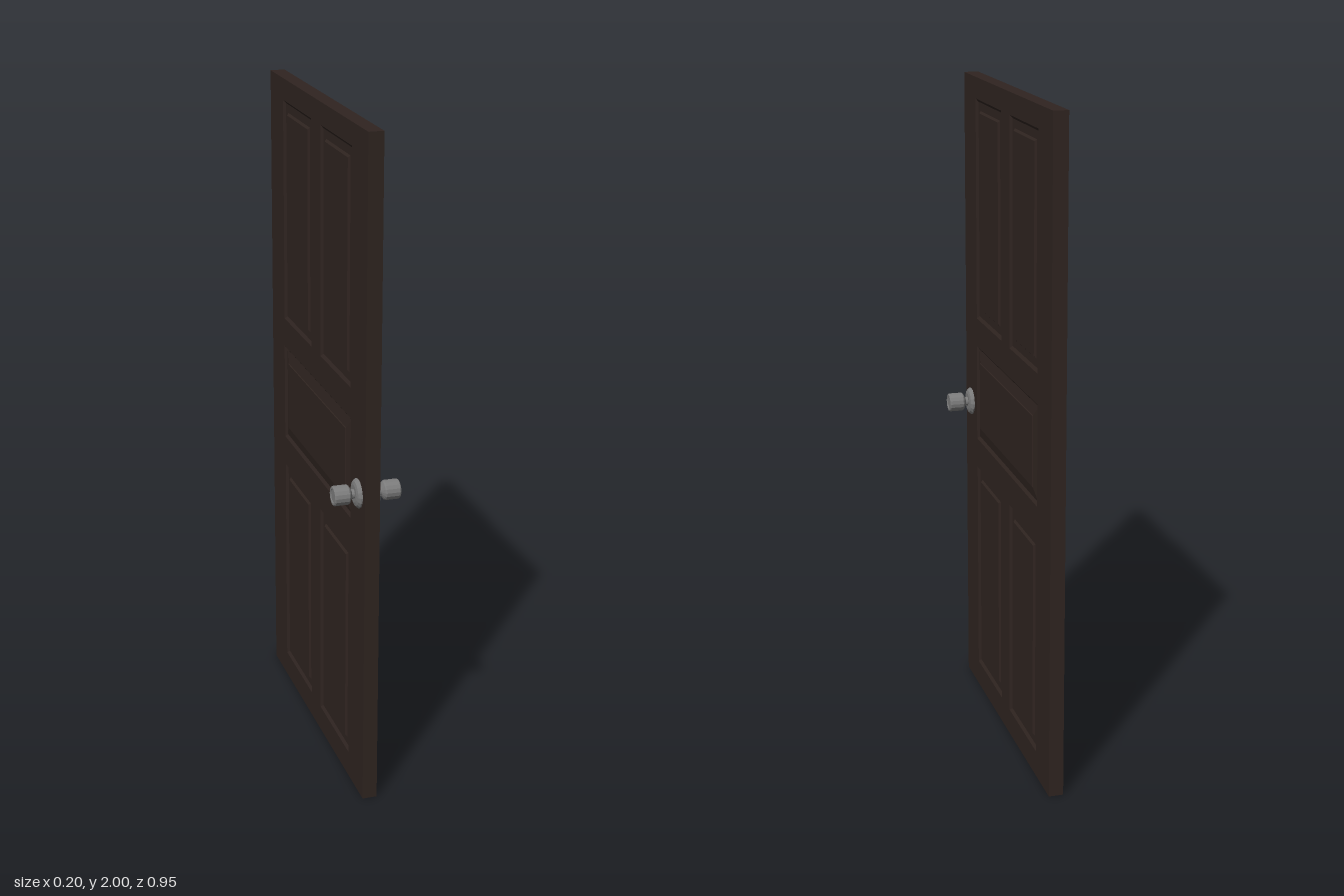
import * as THREE from 'three';

const HALF_T = 0.022, HALF_W = 0.474, HEIGHT = 2;
const KNOB_Y = 0.96, KNOB_Z = 0.411;

// Panel openings seen face on: [x0, x1, y0, y1]
const TALL = [
  [-0.337, -0.046, 1.25, 1.935], [0.046, 0.337, 1.25, 1.935],
  [-0.337, -0.046, 0.08, 0.76], [0.046, 0.337, 0.08, 0.76],
];
const MIDDLE = [-0.34, 0.34, 0.855, 1.16];

// Panel sections from the opening edge inwards: [inset, height above the face]
const TALL_PROFILE = [[0, 0], [0.009, -0.007], [0.034, -0.007], [0.04, -0.001]];
const MIDDLE_PROFILE = [[0, 0], [0.009, -0.007], [0.044, 0], [0.046, 0.002]];

function rectPath(path, [x0, x1, y0, y1]) {
  path.moveTo(x0, y0);
  path.lineTo(x1, y0);
  path.lineTo(x1, y1);
  path.lineTo(x0, y1);
  path.closePath();
  return path;
}

// Moulded panel: nested rectangles joined by strips, closed by the flat field
function panelGeometry([x0, x1, y0, y1], profile) {
  const pos = [];
  const rings = profile.map(([i, h]) => [
    [x0 + i, y0 + i, HALF_T + h], [x1 - i, y0 + i, HALF_T + h],
    [x1 - i, y1 - i, HALF_T + h], [x0 + i, y1 - i, HALF_T + h],
  ]);
  const quad = (a, b, c, d) => pos.push(...a, ...b, ...c, ...a, ...c, ...d);
  for (let r = 0; r < rings.length - 1; r++) {
    for (let k = 0; k < 4; k++) {
      const n = (k + 1) % 4;
      quad(rings[r][k], rings[r][n], rings[r + 1][n], rings[r + 1][k]);
    }
  }
  quad(...rings[rings.length - 1]);
  const geo = new THREE.BufferGeometry();
  geo.setAttribute('position', new THREE.Float32BufferAttribute(pos, 3));
  geo.computeVertexNormals();
  return geo;
}

export function createModel() {
  const door = new THREE.Group();
  door.name = 'door';
  const wood = new THREE.MeshStandardMaterial({ color: 0x2f2420 });
  const metal = new THREE.MeshStandardMaterial({ color: 0x7c7c7c, flatShading: true });

  const add = (parent, geo, mat, name) => {
    const mesh = new THREE.Mesh(geo, mat);
    mesh.name = name;
    parent.add(mesh);
    return mesh;
  };

  // Stiles and rails: slab with five openings
  const outline = rectPath(new THREE.Shape(), [-HALF_W, HALF_W, 0, HEIGHT]);
  for (const r of [...TALL, MIDDLE]) outline.holes.push(rectPath(new THREE.Path(), r));
  const frameGeo = new THREE.ExtrudeGeometry(outline, { depth: 2 * HALF_T, bevelEnabled: false });
  frameGeo.translate(0, 0, -HALF_T);
  frameGeo.rotateY(Math.PI / 2);
  add(door, frameGeo, wood, 'frame');

  // Lathe profiles: [radius, distance from the door's mid-plane]
  const lathe = (pts) => new THREE.LatheGeometry(pts.map(([r, d]) => new THREE.Vector2(r, d)), 16);
  const roseGeo = lathe([[0.043, 0.02], [0.043, 0.026], [0.036, 0.033], [0.026, 0.036], [0, 0.036]]);
  const knobGeo = lathe([
    [0.014, 0.034], [0.014, 0.044], [0.026, 0.051], [0.029, 0.055],
    [0.029, 0.095], [0.026, 0.098], [0.02, 0.098], [0.018, 0.096], [0, 0.096],
  ]);

  // Both faces carry the same panels, rose and knob
  for (const side of [1, -1]) {
    const face = new THREE.Group();
    face.name = side > 0 ? 'leftFace' : 'rightFace';
    face.rotation.y = side * Math.PI / 2;
    for (const r of TALL) add(face, panelGeometry(r, TALL_PROFILE), wood, 'tallPanel');
    add(face, panelGeometry(MIDDLE, MIDDLE_PROFILE), wood, 'middlePanel');

    const handle = new THREE.Group();
    handle.name = 'doorKnob';
    handle.position.set(-side * KNOB_Z, KNOB_Y, 0);
    handle.rotation.x = Math.PI / 2;
    add(handle, roseGeo, metal, 'rose');
    add(handle, knobGeo, metal, 'knob');
    face.add(handle);
    door.add(face);
  }
  return door;
}
